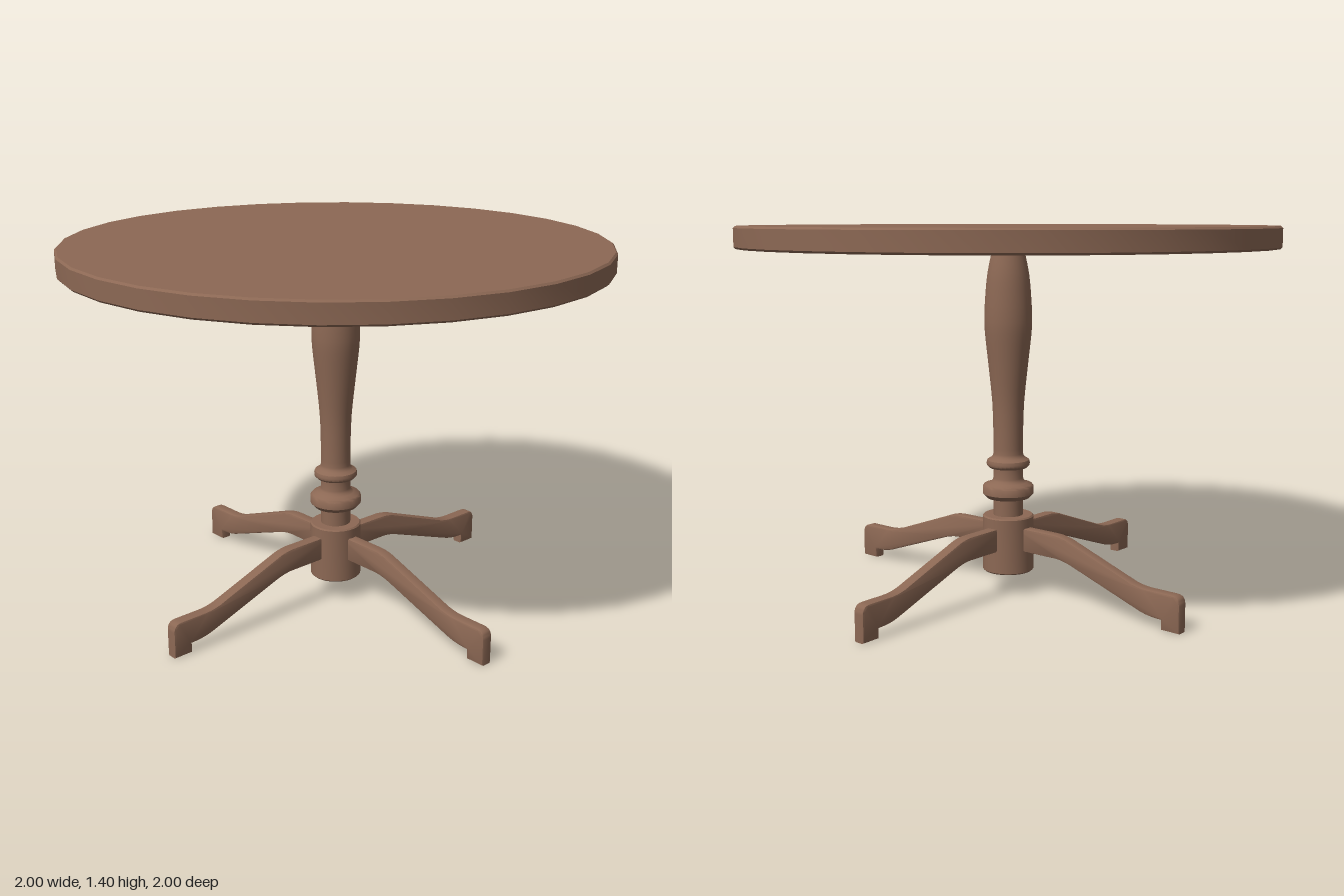
import * as THREE from 'three';
import { toCreasedNormals } from 'three/addons/utils/BufferGeometryUtils.js';

const wood = new THREE.MeshStandardMaterial({ color: 0x8c6854 });
wood.name = 'brownWood';

// Turned part from [radius, height] pairs, bottom to top
function turned(name, profile, segments, crease = 0.5) {
  const points = profile.map(([r, y]) => new THREE.Vector2(r, y));
  const geometry = toCreasedNormals(new THREE.LatheGeometry(points, segments), crease);
  const mesh = new THREE.Mesh(geometry, wood);
  mesh.name = name;
  return mesh;
}

// Side profile of one leg (distance from centre, height), extruded to a thin plank
function legGeometry() {
  const thickness = 0.046, bevel = 0.007;
  const s = new THREE.Shape();
  s.moveTo(0.05, 0.26);
  s.lineTo(0.23, 0.26);
  s.quadraticCurveTo(0.275, 0.26, 0.32, 0.241);
  s.lineTo(0.57, 0.15);
  s.quadraticCurveTo(0.61, 0.134, 0.66, 0.134);
  s.lineTo(0.755, 0.134);
  s.quadraticCurveTo(0.79, 0.134, 0.79, 0.1);
  s.lineTo(0.79, 0);
  s.lineTo(0.715, 0);
  s.lineTo(0.715, 0.036);
  s.quadraticCurveTo(0.66, 0.036, 0.62, 0.05);
  s.lineTo(0.32, 0.155);
  s.quadraticCurveTo(0.275, 0.17, 0.24, 0.17);
  s.lineTo(0.05, 0.17);
  s.closePath();
  const geometry = new THREE.ExtrudeGeometry(s, {
    depth: thickness - 2 * bevel, curveSegments: 6, bevelEnabled: true,
    bevelThickness: bevel, bevelSize: bevel, bevelOffset: -bevel, bevelSegments: 2,
  });
  geometry.translate(0, 0, -thickness / 2 + bevel);
  return toCreasedNormals(geometry, 0.6);
}

export function createModel() {
  const table = new THREE.Group();
  table.name = 'pedestalTable';

  // Round top with slightly eased rims
  table.add(turned('tableTop', [
    [0, 1.32], [0.993, 1.32], [1, 1.327], [1, 1.393], [0.993, 1.4], [0, 1.4],
  ], 32));

  // Hub that carries the legs
  table.add(turned('hub', [
    [0, 0.083], [0.093, 0.083], [0.098, 0.088], [0.098, 0.296], [0.093, 0.301], [0, 0.301],
  ], 32));

  // Turned column: neck, two rings, then the swelling shaft
  const swell = new THREE.SplineCurve([
    [0.057, 0.54], [0.057, 0.62], [0.061, 0.74], [0.075, 0.88], [0.088, 1.0],
    [0.09, 1.06], [0.087, 1.13], [0.078, 1.225], [0.058, 1.32],
  ].map(p => new THREE.Vector2(...p))).getPoints(24).map(p => [p.x, p.y]);
  table.add(turned('column', [
    [0.057, 0.29], [0.057, 0.365], [0.082, 0.368], [0.098, 0.385], [0.098, 0.412],
    [0.092, 0.42], [0.07, 0.427], [0.06, 0.436], [0.057, 0.445], [0.057, 0.482],
    [0.073, 0.486], [0.082, 0.495], [0.083, 0.505], [0.08, 0.515], [0.066, 0.524], [0.059, 0.531],
    ...swell,
  ], 32, 0.7));

  // Four diagonal legs
  const leg = legGeometry();
  for (let i = 0; i < 4; i++) {
    const mesh = new THREE.Mesh(leg, wood);
    mesh.name = `leg${i + 1}`;
    mesh.rotation.y = Math.PI / 4 + i * Math.PI / 2;
    table.add(mesh);
  }
  return table;
}
